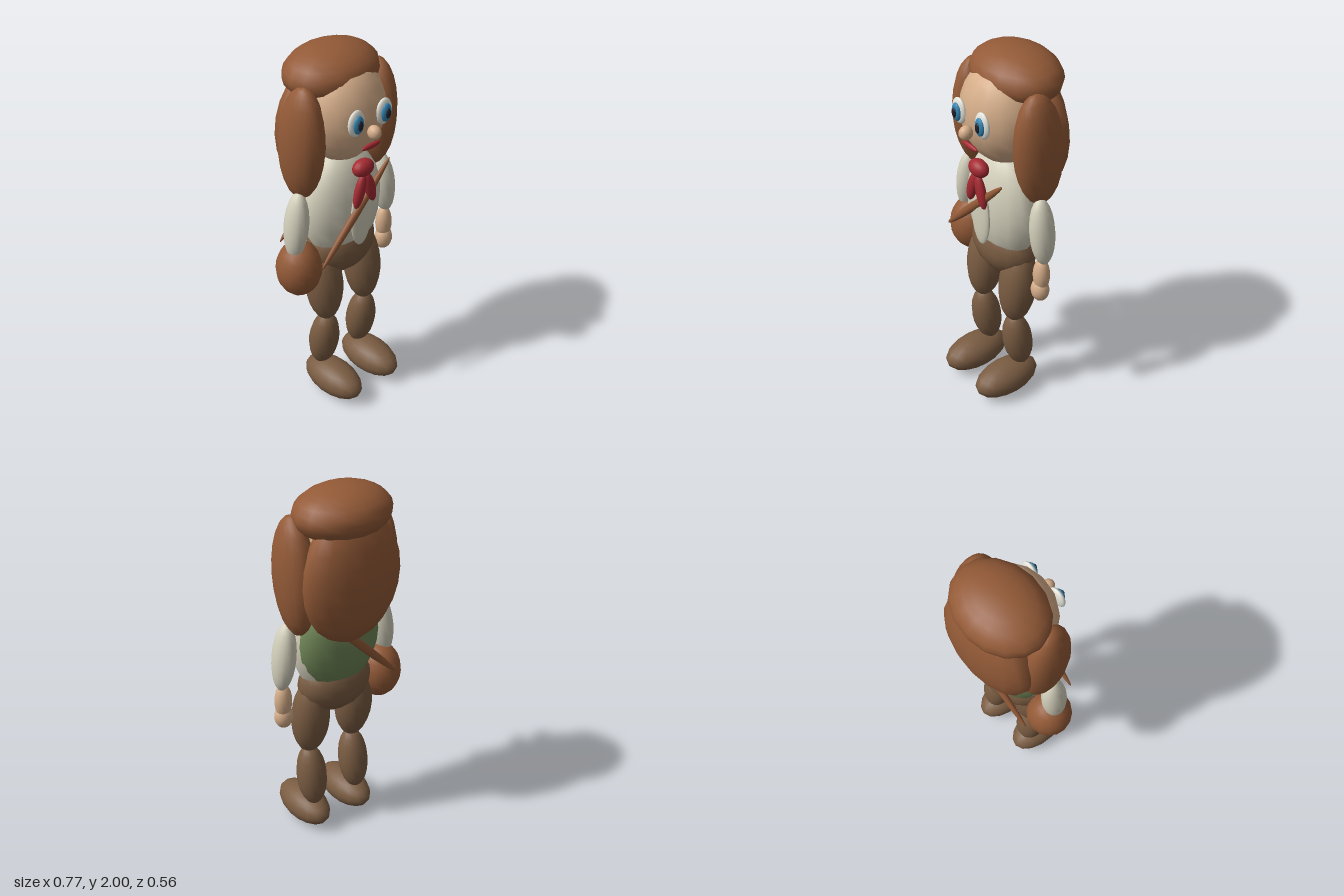
import * as THREE from 'three';

const mat = (name, color) => {
  const m = new THREE.MeshStandardMaterial({ color });
  m.name = name;
  return m;
};

export function createModel() {
  const model = new THREE.Group();
  model.name = 'doll';
  const body = new THREE.Group();
  body.name = 'body';
  body.position.x = 0.02; // the bag on one side shifts the figure off centre
  model.add(body);

  const hair = mat('chestnut hair and leather', 0x935a37);
  const trousers = mat('trouser brown', 0x7a5c42);
  const skin = mat('skin', 0xd6ae8a);
  const shirt = mat('cream cloth', 0xd4d0bc);
  const red = mat('red', 0xa52a32);
  const green = mat('vest green', 0x6f8556);
  const white = mat('eye white', 0xe4e4dc);
  const blue = mat('iris blue', 0x3486b4);
  const dark = mat('pupil dark', 0x20202a);

  // Every part is a smooth ellipsoid: centre, radii, optional tilt
  const sphere = new THREE.SphereGeometry(1, 16, 12);
  const blob = (name, material, pos, radii, rot = [0, 0, 0]) => {
    const mesh = new THREE.Mesh(sphere, material);
    mesh.name = name;
    mesh.position.set(...pos);
    mesh.scale.set(...radii);
    mesh.rotation.set(...rot);
    body.add(mesh);
  };
  // Mirrored pair, given for the model's left (+x)
  const pair = (name, material, [x, y, z], radii, [rx, ry, rz] = [0, 0, 0]) => {
    blob(name + 'Left', material, [x, y, z], radii, [rx, ry, rz]);
    blob(name + 'Right', material, [-x, y, z], radii, [rx, -ry, -rz]);
  };

  // Head and hair
  blob('head', skin, [0, 1.685, 0], [0.228, 0.27, 0.205]);
  blob('hairCap', hair, [0, 1.865, -0.075], [0.262, 0.135, 0.205]);
  blob('hairBack', hair, [0, 1.55, -0.15], [0.28, 0.35, 0.133]);
  pair('hairSide', hair, [0.24, 1.565, -0.022], [0.097, 0.31, 0.136], [0.08, 0, 0]);

  // Face
  pair('eye', white, [0.091, 1.707, 0.195], [0.051, 0.069, 0.02]);
  pair('iris', blue, [0.091, 1.705, 0.211], [0.032, 0.048, 0.017]);
  pair('pupil', dark, [0.091, 1.705, 0.222], [0.016, 0.028, 0.013]);
  blob('nose', skin, [0, 1.637, 0.225], [0.032, 0.037, 0.037]);
  blob('mouth', red, [0, 1.557, 0.205], [0.061, 0.015, 0.012]);

  // Torso, vest and shirt front
  blob('torso', shirt, [0, 1.15, 0], [0.24, 0.32, 0.145]);
  blob('vestBack', green, [0, 1.17, -0.045], [0.232, 0.28, 0.128]);
  blob('shirtFront', shirt, [0, 1.125, 0.143], [0.07, 0.175, 0.02]);

  // Neckerchief
  blob('scarfKnot', red, [0, 1.412, 0.153], [0.063, 0.046, 0.043]);
  pair('scarfTail', red, [0.034, 1.295, 0.167], [0.031, 0.095, 0.024], [0, 0, 0.28]);

  // Arms
  pair('sleeve', shirt, [0.302, 1.13, -0.005], [0.06, 0.187, 0.068], [0, 0, 0.12]);
  pair('forearm', skin, [0.31, 0.872, 0], [0.047, 0.1, 0.042]);
  pair('hand', skin, [0.307, 0.777, 0.004], [0.051, 0.066, 0.046]);

  // Hips, legs and shoes
  blob('hips', trousers, [0, 0.9, -0.008], [0.21, 0.165, 0.14]);
  pair('thigh', trousers, [0.137, 0.71, 0.012], [0.103, 0.23, 0.1], [-0.1, 0, 0]);
  pair('shin', trousers, [0.137, 0.33, 0.01], [0.083, 0.18, 0.08], [0.15, 0, 0]);
  pair('shoe', trousers, [0.137, 0.097, 0.085], [0.106, 0.094, 0.197]);

  // Satchel with slanted straps front and back
  blob('bag', hair, [-0.285, 0.862, -0.012], [0.12, 0.155, 0.12]);
  blob('strapFront', hair, [-0.045, 1.163, 0.153], [0.023, 0.327, 0.018], [0, 0, -0.78]);
  blob('strapBack', hair, [-0.045, 1.163, -0.17], [0.023, 0.327, 0.018], [0, 0, -0.78]);

  return model;
}
